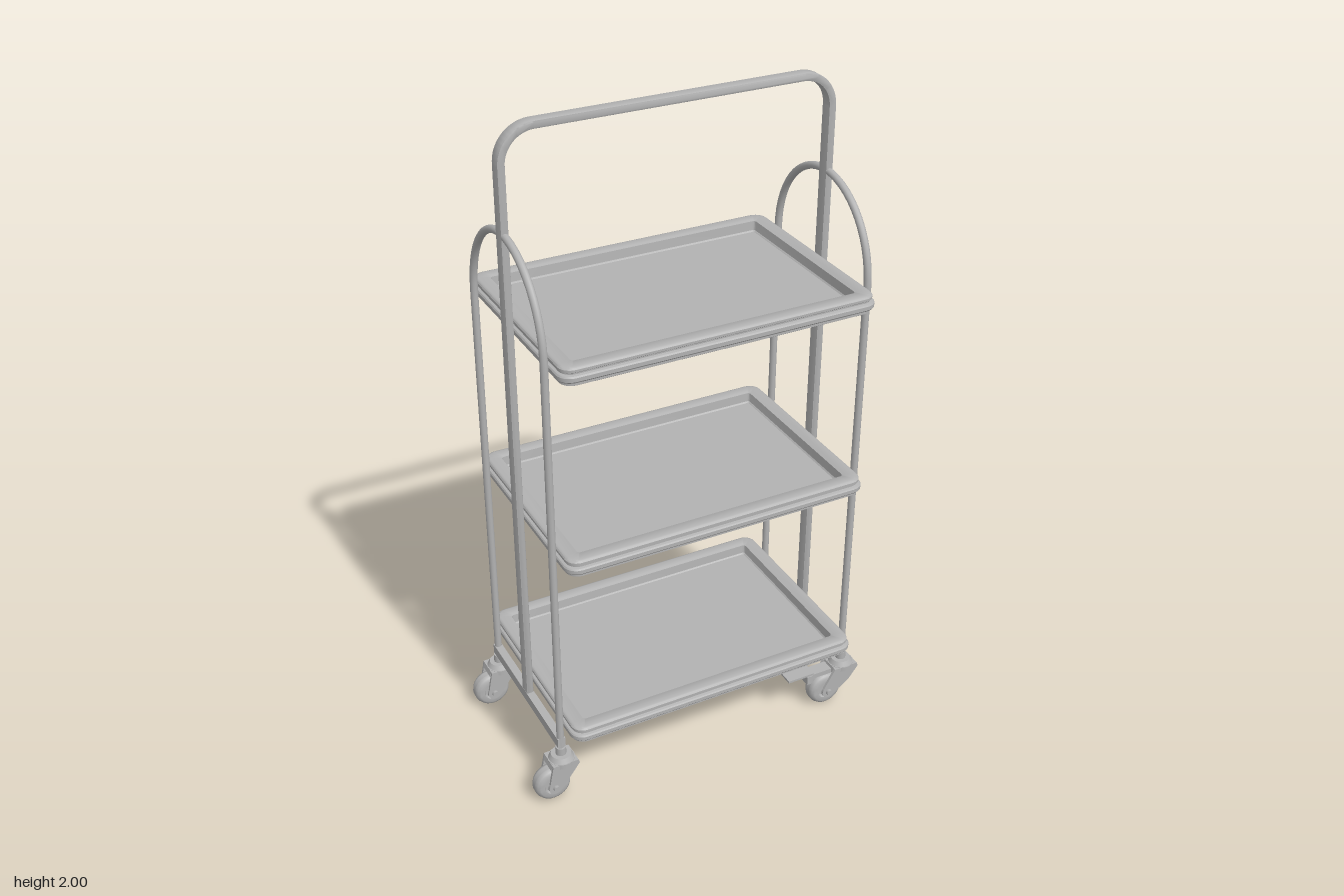
import * as THREE from 'three';
import { toCreasedNormals } from 'three/addons/utils/BufferGeometryUtils.js';

const metal = new THREE.MeshStandardMaterial({ color: 0xb2b2b2 });
metal.name = 'grey metal';
const CX = 0.02;      // centre of the frame in x
const SIDE = 0.483;   // half distance between the side frames
const LEG_Z = 0.238;

function add(parent, name, geometry, x = 0, y = 0, z = 0) {
  const mesh = new THREE.Mesh(geometry, metal);
  mesh.name = name;
  mesh.position.set(x, y, z);
  parent.add(mesh);
  return mesh;
}

// Points of a rounded rectangle, anticlockwise seen from above
function roundedLoop(hx, hz, r, steps = 6) {
  const pts = [];
  [[1, 1], [-1, 1], [-1, -1], [1, -1]].forEach(([sx, sz], c) => {
    for (let i = 0; i <= steps; i++) {
      const a = (c + i / steps) * Math.PI / 2;
      pts.push([sx * (hx - r) + r * Math.cos(a), sz * (hz - r) + r * Math.sin(a)]);
    }
  });
  return pts;
}

// Tray: rounded rectangles stacked from the underside, over the rim, to the floor
function trayGeometry() {
  const hx = 0.471, hz = 0.321;
  const profile = [ // inset, height, corner radius
    [0.016, 0, 0.03], [0.010, 0.004, 0.034], [0.010, 0.013, 0.034],
    [0.003, 0.015, 0.038], [0, 0.019, 0.04], [0, 0.030, 0.04], [0.003, 0.034, 0.038],
    [0.010, 0.036, 0.034], [0.010, 0.040, 0.034],
    [0.006, 0.043, 0.036], [0.006, 0.050, 0.036], [0.009, 0.054, 0.034], [0.015, 0.056, 0.03],
    [0.044, 0.056, 0.012], [0.049, 0.053, 0.009], [0.052, 0.026, 0.007], [0.056, 0.022, 0.005],
  ];
  const rings = profile.map(([d, y, r]) =>
    roundedLoop(hx - d, hz - d, r).map(([x, z]) => [x, y, z]));
  const n = rings[0].length;
  rings.unshift(Array(n).fill([0, 0, 0]));
  rings.push(Array(n).fill([0, 0.022, 0]));
  const index = [];
  for (let k = 0; k < rings.length - 1; k++) {
    for (let i = 0; i < n; i++) {
      const j = (i + 1) % n, a = k * n + i, b = k * n + j, c = a + n, d = b + n;
      if (k > 0) index.push(a, d, b);
      if (k < rings.length - 2) index.push(a, c, d);
      else if (k === rings.length - 2) index.splice(-3, 3, a, c, b);
    }
  }
  // underside fan
  for (let i = 0; i < n; i++) index.push(0, n + i, n + (i + 1) % n);
  const g = new THREE.BufferGeometry();
  g.setAttribute('position', new THREE.Float32BufferAttribute(rings.flat(2), 3));
  // the fan already covers the first strip
  g.setIndex(index.slice(n * 3));
  return toCreasedNormals(g, 0.6);
}

// Tall flat-tube handle: an upside-down U band
function handleGeometry() {
  const bevel = 0.005, t = 0.023 - 2 * bevel, w = SIDE + 0.0115 - bevel;
  const top = 2 - bevel, low = 0.2, r = 0.1;
  const s = new THREE.Shape();
  s.moveTo(w, low);
  s.lineTo(w, top - r);
  s.absarc(w - r, top - r, r, 0, Math.PI / 2, false);
  s.lineTo(-w + r, top);
  s.absarc(-w + r, top - r, r, Math.PI / 2, Math.PI, false);
  s.lineTo(-w, low);
  s.lineTo(-w + t, low);
  s.lineTo(-w + t, top - r);
  s.absarc(-w + r, top - r, r - t, Math.PI, Math.PI / 2, true);
  s.lineTo(w - r, top - t);
  s.absarc(w - r, top - r, r - t, Math.PI / 2, 0, true);
  s.lineTo(w - t, low);
  const g = new THREE.ExtrudeGeometry(s, {
    depth: 0.038 - 2 * bevel, bevelThickness: bevel, bevelSize: bevel, bevelSegments: 2, curveSegments: 12,
  });
  g.translate(0, 0, -0.019 + bevel);
  return toCreasedNormals(g, 0.6);
}

// Pair of legs joined by an arch
function archGeometry() {
  const right = [0.16, 0.6, 1.0, 1.3, 1.4].map(y => new THREE.Vector3(0, y, LEG_Z));
  const arc = [];
  for (let i = 0; i <= 16; i++) {
    const a = i / 16 * Math.PI;
    arc.push(new THREE.Vector3(0, 1.45 + 0.257 * Math.sin(a), LEG_Z * Math.cos(a)));
  }
  const left = right.map(p => new THREE.Vector3(0, p.y, -LEG_Z)).reverse();
  return new THREE.TubeGeometry(new THREE.CatmullRomCurve3([...right, ...arc, ...left]), 120, 0.011, 12);
}

// Caster with its swivel at the origin and its wheel trailing towards -x
function makeCaster(trail, braked) {
  const caster = new THREE.Group();
  caster.name = braked ? 'brakedCaster' : 'caster';
  add(caster, 'swivelStem', new THREE.CylinderGeometry(0.016, 0.016, 0.03, 16), 0, 0.165);
  add(caster, 'swivelCap', new THREE.CylinderGeometry(0.03, 0.038, 0.014, 24), 0, 0.148);
  add(caster, 'swivelDisc', new THREE.CylinderGeometry(0.041, 0.041, 0.016, 24), 0, 0.133);

  // rounded tyre and hubs
  const R = 0.057, W = 0.024;
  const tyre = [[0.03, -W], [0.044, -W], [0.052, -W * 0.8], [R, -W * 0.35], [R, W * 0.35],
    [0.052, W * 0.8], [0.044, W], [0.03, W], [0.026, W * 0.7], [0, W * 0.7]];
  const pts = [new THREE.Vector2(0, -W * 0.7), new THREE.Vector2(0.026, -W * 0.7),
    ...tyre.map(([r, y]) => new THREE.Vector2(r, y))];
  const wheel = toCreasedNormals(new THREE.LatheGeometry(pts, 28), 0.7);
  add(caster, 'wheel', wheel.rotateX(Math.PI / 2), -trail, 0.06);
  const axle = new THREE.CylinderGeometry(0.01, 0.01, 0.09, 12).rotateX(Math.PI / 2);
  add(caster, 'axle', axle, -trail, 0.06);

  // fork cheeks and the hood joining them
  const s = new THREE.Shape();
  s.moveTo(-0.04, 0.14);
  s.lineTo(-trail - 0.018, 0.075);
  s.absarc(-trail, 0.06, 0.022, 2.4, 5.6, false);
  s.lineTo(0.012, 0.085);
  s.lineTo(0.044, 0.128);
  s.lineTo(0.04, 0.14);
  const cheek = new THREE.ExtrudeGeometry(s, { depth: 0.008, bevelEnabled: false, curveSegments: 10 });
  for (const z of [0.028, -0.036]) add(caster, 'forkCheek', cheek, 0, 0, z);
  const h = new THREE.Shape();
  h.moveTo(-0.04, 0.14);
  h.lineTo(-0.045, 0.124);
  h.lineTo(-0.005, 0.118);
  h.lineTo(0.014, 0.088);
  h.lineTo(0.044, 0.128);
  h.lineTo(0.04, 0.14);
  add(caster, 'forkHood', new THREE.ExtrudeGeometry(h, { depth: 0.058, bevelEnabled: false }), 0, 0, -0.029);

  if (braked) {
    add(caster, 'brakeArm', new THREE.BoxGeometry(0.07, 0.016, 0.04), -0.08, 0.128);
    add(caster, 'brakeShoe', new THREE.BoxGeometry(0.02, 0.03, 0.05), -0.125, 0.122);
    add(caster, 'brakePedal', new THREE.BoxGeometry(0.09, 0.007, 0.05), -0.158, 0.143);
  }
  return caster;
}

export function createModel() {
  const model = new THREE.Group();
  model.name = 'trolley';

  // Three trays
  const tray = trayGeometry();
  [0.231, 0.818, 1.406].forEach(y => add(model, 'tray', tray, CX, y, 0));

  // Frame
  add(model, 'handle', handleGeometry(), CX, 0, 0);
  const arch = archGeometry();
  const bar = new THREE.BoxGeometry(0.024, 0.032, 2 * LEG_Z + 0.02);
  for (const side of [-1, 1]) {
    const x = CX + side * SIDE;
    add(model, 'archedLegs', arch, x, 0, 0);
    add(model, 'bottomBar', bar, x, 0.199, 0);
    // Casters, the pair at +x has brakes
    for (const z of [-LEG_Z, LEG_Z]) {
      const caster = makeCaster(side > 0 ? 0.06 : 0.034, side > 0);
      caster.position.set(x, 0, z);
      model.add(caster);
    }
  }
  return model;
}
